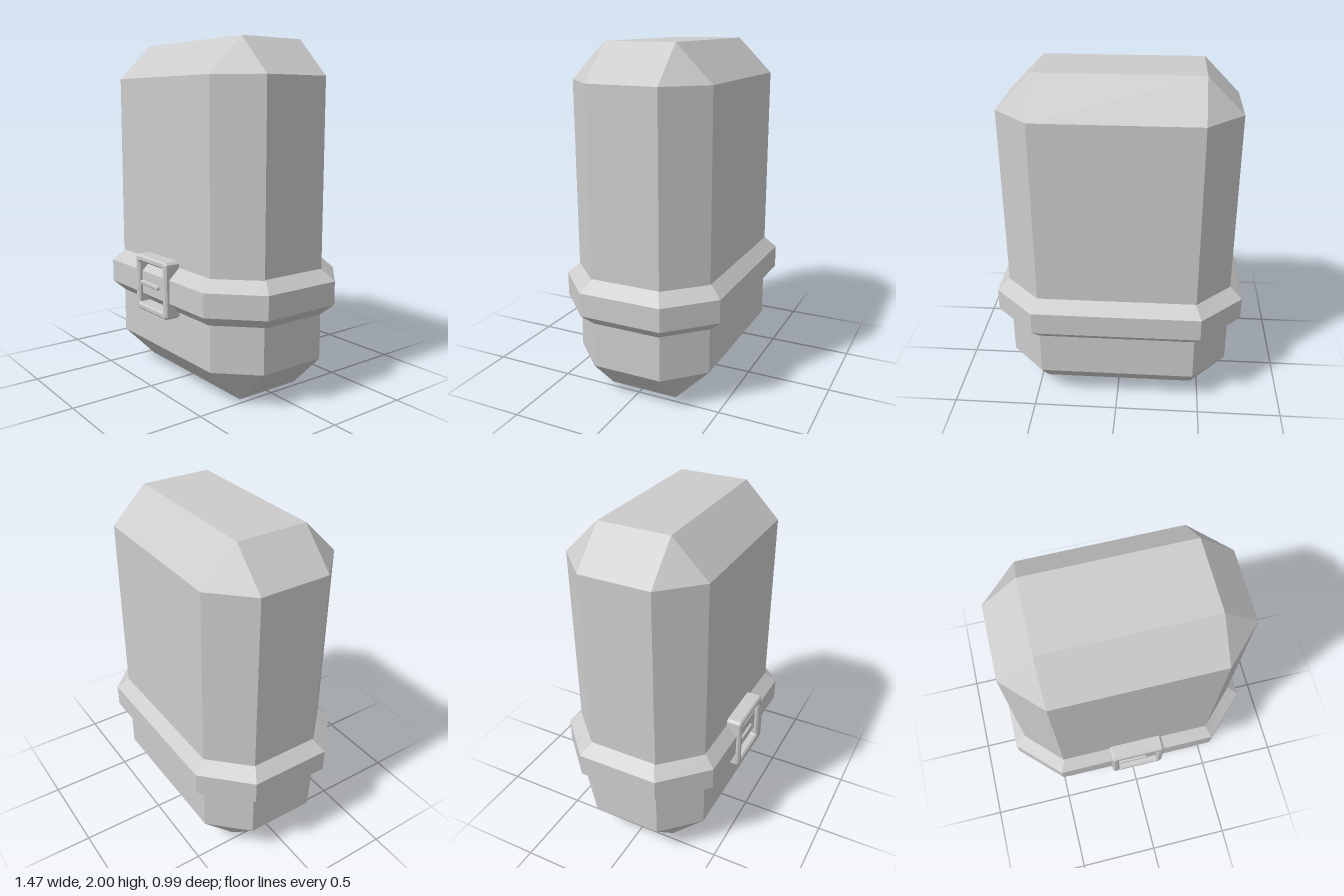
import * as THREE from 'three';

const material = new THREE.MeshStandardMaterial({ color: 0xcccccc, flatShading: true });
const CENTER_Z = -0.01;

// Ring of a chamfered rectangle: half sizes w, d and chamfers cx, cz (zero chamfer collapses the corner)
function ring(y, w, d, cx, cz) {
  const points = [];
  for (const [sx, sz] of [[1, 1], [1, -1], [-1, -1], [-1, 1]]) {
    const onSide = new THREE.Vector3(sx * w, y, sz * (d - cz));
    const onFront = new THREE.Vector3(sx * (w - cx), y, sz * d);
    points.push(...(sx === sz ? [onFront, onSide] : [onSide, onFront]));
  }
  return points;
}

// Skin a stack of rings from bottom to top, with optional flat caps
function loft(rings, capped) {
  const positions = [];
  const tri = (a, b, c) => {
    const area = b.clone().sub(a).cross(c.clone().sub(a)).length();
    if (area > 1e-9) for (const p of [a, b, c]) positions.push(p.x, p.y, p.z);
  };
  for (let i = 0; i < rings.length - 1; i++) {
    const lo = rings[i], hi = rings[i + 1], n = lo.length;
    for (let j = 0; j < n; j++) {
      const k = (j + 1) % n;
      tri(lo[j], lo[k], hi[k]);
      tri(lo[j], hi[k], hi[j]);
    }
  }
  if (capped) {
    const bottom = rings[0], top = rings[rings.length - 1];
    for (let j = 1; j < top.length - 1; j++) {
      tri(top[0], top[j], top[j + 1]);
      tri(bottom[0], bottom[j + 1], bottom[j]);
    }
  }
  const geometry = new THREE.BufferGeometry();
  geometry.setAttribute('position', new THREE.Float32BufferAttribute(positions, 3));
  geometry.computeVertexNormals();
  return geometry;
}

// Square outline with small cut corners
function squareOutline(target, half, cut) {
  const a = half - cut;
  const points = [[half, -a], [half, a], [a, half], [-a, half], [-half, a], [-half, -a], [-a, -half], [a, -half]];
  target.setFromPoints(points.map(([x, y]) => new THREE.Vector2(x, y)));
  return target;
}

function addMesh(parent, name, geometry, x = 0, y = 0, z = 0) {
  const mesh = new THREE.Mesh(geometry, material);
  mesh.name = name;
  mesh.position.set(x, y, z);
  parent.add(mesh);
  return mesh;
}

export function createModel() {
  const model = new THREE.Group();
  model.name = 'beltedBody';

  // Chamfered block body
  addMesh(model, 'body', loft([
    ring(0, 0.46, 0.208, 0, 0),
    ring(0.208, 0.665, 0.415, 0.205, 0.207),
    ring(1.795, 0.665, 0.415, 0.205, 0.207),
    ring(2, 0.46, 0.208, 0, 0),
  ], true), 0, 0, CENTER_Z);

  // Belt with bevelled upper and lower edges
  const inner = (y) => ring(y, 0.665, 0.415, 0.21, 0.212);
  const outer = (y) => ring(y, 0.735, 0.483, 0.245, 0.24);
  addMesh(model, 'belt', loft([inner(0.47), outer(0.535), outer(0.67), inner(0.735)], false), 0, 0, CENTER_Z - 0.002);

  // Buckle: bevelled square frame and a prong
  const buckle = new THREE.Group();
  buckle.name = 'buckle';
  buckle.position.set(0, 0.605, 0);
  model.add(buckle);

  const frame = squareOutline(new THREE.Shape(), 0.155, 0.008);
  frame.holes.push(squareOutline(new THREE.Path(), 0.135, 0.012));
  addMesh(buckle, 'buckleFrame', new THREE.ExtrudeGeometry(frame, {
    depth: 0.085, bevelEnabled: true, bevelSize: 0.01, bevelThickness: 0.01, bevelSegments: 1,
  }), 0, 0, 0.4);

  const prong = new THREE.Shape([[-0.13, -0.008], [0.052, -0.008], [0.056, -0.004], [0.056, 0.004], [0.052, 0.008], [-0.13, 0.008]]
    .map(([x, y]) => new THREE.Vector2(x, y)));
  addMesh(buckle, 'buckleProng', new THREE.ExtrudeGeometry(prong, {
    depth: 0.03, bevelEnabled: true, bevelSize: 0.005, bevelThickness: 0.005, bevelSegments: 1,
  }), 0, -0.003, 0.45);

  return model;
}
